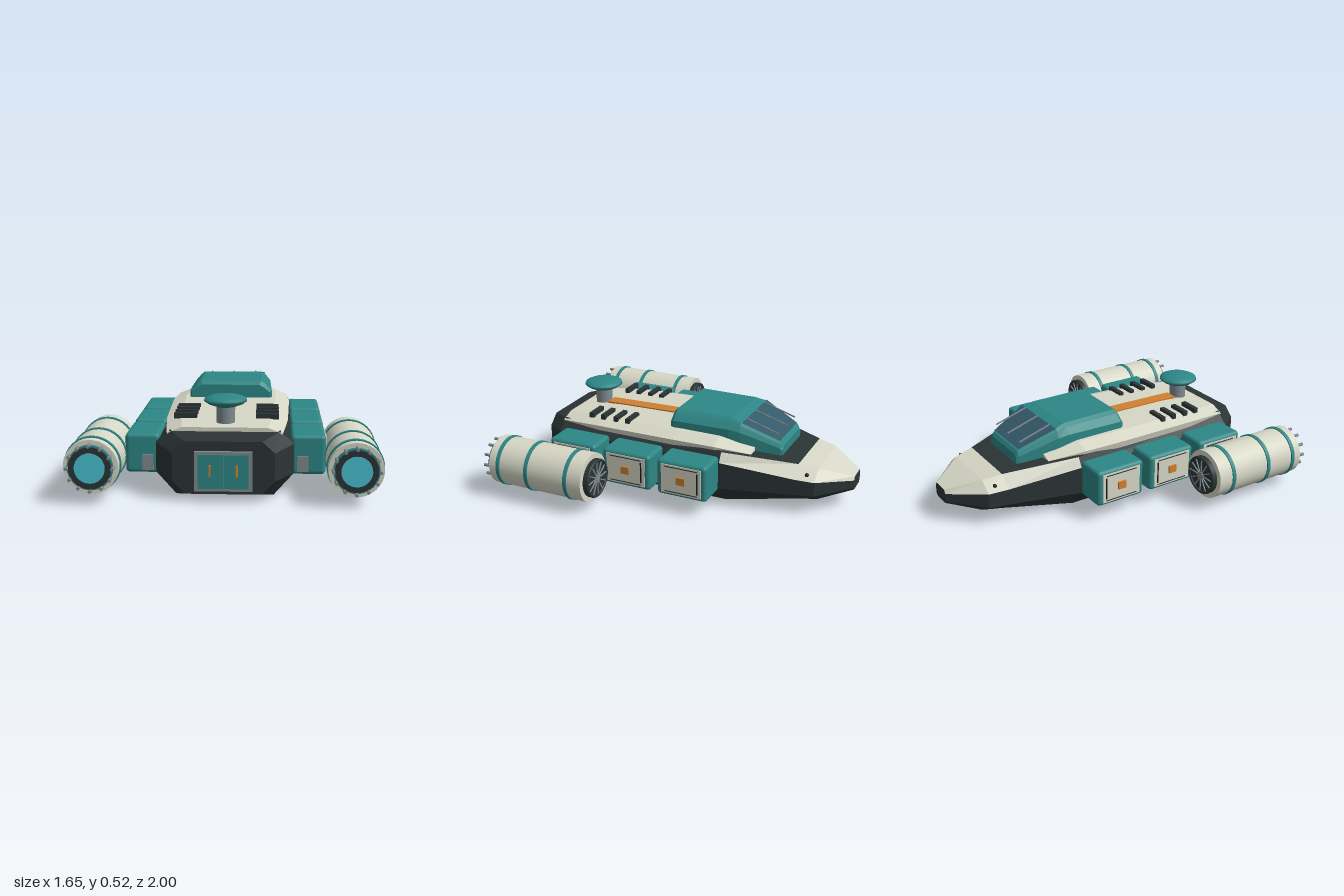
import * as THREE from 'three';
import { RoundedBoxGeometry } from 'three/addons/geometries/RoundedBoxGeometry.js';

const mat = (name, color, opts = {}) => {
  const m = new THREE.MeshStandardMaterial({ color, ...opts });
  m.name = name;
  return m;
};
const cream = mat('cream', 0xd6d7c6);
const teal = mat('teal', 0x2d8786);
const dark = mat('charcoal', 0x2b3435);
const black = mat('black', 0x191e1f);
const orange = mat('orange', 0xcf8030);
const grey = mat('grey', 0x7f8a90);
const glass = mat('glass', 0x33596a, { side: THREE.DoubleSide });
const cyan = mat('cyan', 0x4bc2d6);

function add(parent, name, geometry, material, x = 0, y = 0, z = 0) {
  const m = new THREE.Mesh(geometry, material);
  m.name = name;
  m.position.set(x, y, z);
  parent.add(m);
  return m;
}
const box = (w, h, d) => new THREE.BoxGeometry(w, h, d);
const cylZ = (r, len, seg = 32, r2 = r) => new THREE.CylinderGeometry(r, r2, len, seg).rotateX(Math.PI / 2);

// Mirrors the right half of a cross-section (listed bottom to top) into a full ring
const ring = (z, half) => [
  ...half.map(([x, y]) => [x, y, z]),
  ...half.slice().reverse().map(([x, y]) => [-x, y, z]),
];

// Faceted loft through rings ordered from +z to -z; pick(k, i) gives a material index
function loft(rings, pick = () => 0) {
  const byMat = [[], []], n = rings[0].length;
  rings.slice(1).forEach((far, k) => {
    const near = rings[k];
    for (let i = 0; i < n; i++) {
      const j = (i + 1) % n;
      byMat[pick(k, i)].push(near[i], far[i], far[j], near[i], far[j], near[j]);
    }
  });
  const last = rings[rings.length - 1];
  for (let i = 1; i < n - 1; i++) {
    byMat[0].push(rings[0][0], rings[0][i], rings[0][i + 1], last[0], last[i + 1], last[i]);
  }
  const g = new THREE.BufferGeometry();
  g.setAttribute('position', new THREE.Float32BufferAttribute(byMat.flat(2), 3));
  g.addGroup(0, byMat[0].length, 0);
  g.addGroup(byMat[0].length, byMat[1].length, 1);
  g.computeVertexNormals();
  return g;
}

function buildHull(root) {
  // z, top half-width, top y, side half-width, side top y, side bottom y, bottom half-width, bottom y
  const rings = [
    [0.885, 0.2, 0.32, 0.265, 0.26, 0.11, 0.2, 0.04],
    [0.75, 0.29, 0.345, 0.365, 0.28, 0.12, 0.26, 0],
    [-0.3, 0.34, 0.335, 0.37, 0.28, 0.12, 0.27, 0.005],
    [-0.71, 0.195, 0.28, 0.268, 0.215, 0.12, 0.17, 0.05],
    [-0.82, 0.17, 0.262, 0.242, 0.205, 0.12, 0.15, 0.063],
    [-1, 0.05, 0.2, 0.065, 0.178, 0.13, 0.05, 0.115],
  ].map(([z, tw, ty, sw, st, sb, bw, by]) => ring(z, [[bw, by], [sw, sb], [sw, st], [tw, ty]]));
  // Nose chamfers (2, 4) are cream; the nose top (3) turns cream ahead of the dark panel
  const pick = (k, i) => ((k >= 2 && (i === 2 || i === 4)) || (k >= 3 && i === 3) ? 1 : 0);
  add(root, 'hull', loft(rings, pick), [dark, cream]);
  for (const s of [-1, 1]) add(root, 'noseThruster', new THREE.SphereGeometry(0.012, 10, 8), black, s * 0.222, 0.235, -0.77);

  // Deck plate with drooping edges
  const deck = [
    [0.76, 0.305, 0.365], [0.5, 0.335, 0.382], [0, 0.35, 0.39], [-0.25, 0.335, 0.385], [-0.45, 0.26, 0.345],
  ].map(([z, w, t]) => ring(z, [[w - 0.06, t - 0.045], [w - 0.01, t - 0.07], [w, t - 0.03], [w - 0.08, t]]));
  add(root, 'deck', loft(deck), cream);
  add(root, 'deckStripe', box(0.08, 0.012, 0.56), orange, 0, 0.386, 0.32).rotation.x = 0.018;
  for (const s of [-1, 1]) {
    for (const z of [0.33, 0.41, 0.495, 0.575]) {
      add(root, 'deckVent', box(0.125, 0.03, 0.028), dark, s * 0.222, 0.388, z);
    }
  }
}

function buildCanopy(root) {
  // z, top half-width, top y, side half-width, side y, base y
  const rings = [
    [0.065, 0.17, 0.465, 0.235, 0.42, 0.36],
    [0.045, 0.18, 0.485, 0.245, 0.43, 0.35],
    [-0.3, 0.18, 0.484, 0.235, 0.43, 0.33],
    [-0.36, 0.195, 0.468, 0.226, 0.42, 0.32],
    [-0.585, 0.147, 0.37, 0.165, 0.34, 0.27],
    [-0.6, 0.135, 0.35, 0.157, 0.33, 0.27],
  ].map(([z, tw, ty, sw, sy, by]) => ring(z, [[sw, by], [sw, sy], [tw + (sw - tw) * 0.4, ty - (ty - sy) * 0.3], [tw, ty]]));
  add(root, 'canopy', loft(rings), teal);

  // Windscreen on the sloped face
  const a = [[-0.2, 0.47, -0.365], [0.2, 0.47, -0.365], [0.147, 0.378, -0.58], [-0.147, 0.378, -0.58]];
  const g = new THREE.BufferGeometry();
  g.setAttribute('position', new THREE.Float32BufferAttribute([a[0], a[1], a[2], a[0], a[2], a[3]].flat(), 3));
  g.computeVertexNormals();
  add(root, 'windscreen', g, glass);
  for (const x of [-0.14, 0, 0.14]) {
    add(root, 'windscreenBar', box(0.007, 0.007, 0.205), grey, x, 0.445, -0.47).rotation.x = -0.3;
  }
}

function buildDish(root) {
  add(root, 'dishMast', new THREE.CylinderGeometry(0.05, 0.05, 0.1, 24), grey, 0, 0.42, 0.65);
  const profile = [[0, 0.455], [0.05, 0.457], [0.095, 0.473], [0.115, 0.488], [0.112, 0.5], [0.085, 0.512], [0.045, 0.52], [0, 0.522]]
    .map(([x, y]) => new THREE.Vector2(x, y));
  add(root, 'dish', new THREE.LatheGeometry(profile, 36), teal, 0, 0, 0.65);
}

function buildDoor(root) {
  add(root, 'doorFrame', box(0.3, 0.21, 0.04), grey, 0, 0.165, 0.885);
  for (const s of [-1, 1]) {
    add(root, 'doorLeaf', box(0.129, 0.18, 0.02), teal, s * 0.066, 0.165, 0.9);
    add(root, 'doorHandle', box(0.01, 0.06, 0.014), orange, s * 0.07, 0.172, 0.914);
  }
}

function buildPods(root, s) {
  add(root, 'podRail', box(0.06, 0.085, 0.94), grey, s * 0.413, 0.162, 0.255);
  [-0.142, 0.208, 0.562].forEach((z) => {
    const pod = new THREE.Group();
    pod.name = 'cargoPod';
    pod.position.set(s * 0.442, 0.208, z);
    root.add(pod);
    add(pod, 'podBody', new RoundedBoxGeometry(0.185, 0.215, 0.305, 3, 0.022), teal);
    add(pod, 'podPanel', box(0.008, 0.175, 0.245), cream, s * 0.093);
    add(pod, 'podLatch', box(0.014, 0.045, 0.05), orange, s * 0.1);
    add(pod, 'podSlot', box(0.006, 0.13, 0.008), black, s * 0.096, 0, -0.1);
    for (const y of [-0.076, 0.076]) add(pod, 'podSeam', box(0.006, 0.005, 0.2), dark, s * 0.096, y, 0);
  });
}

function buildEngine(root, s) {
  const e = new THREE.Group();
  e.name = 'engine';
  e.position.set(s * 0.675, 0.195, 0);
  root.add(e);
  add(e, 'engineBody', cylZ(0.142, 0.61, 40), cream, 0, 0, 0.645);
  for (const z of [0.44, 0.7, 0.89]) add(e, 'engineBand', cylZ(0.148, 0.022, 40), teal, 0, 0, z);

  // Intake with radial grille
  add(e, 'intake', cylZ(0.112, 0.03), dark, 0, 0, 0.33);
  add(e, 'intakeRim', new THREE.TorusGeometry(0.104, 0.009, 8, 32), dark, 0, 0, 0.315);
  add(e, 'intakeHub', cylZ(0.022, 0.012, 16), grey, 0, 0, 0.313);
  for (let i = 0; i < 6; i++) add(e, 'intakeSpoke', box(0.2, 0.006, 0.008), grey, 0, 0, 0.313).rotation.z = i * Math.PI / 6;

  // Exhaust nozzle, glow and surrounding studs
  add(e, 'nozzleCollar', cylZ(0.118, 0.03), teal, 0, 0, 0.955);
  add(e, 'nozzle', cylZ(0.11, 0.03), dark, 0, 0, 0.963);
  add(e, 'exhaustGlow', cylZ(0.079, 0.008), cyan, 0, 0, 0.979);
  for (let i = 0; i < 12; i++) {
    const t = i * Math.PI / 6;
    add(e, 'nozzleStud', cylZ(0.009, 0.06, 8), grey, Math.cos(t) * 0.118, Math.sin(t) * 0.118, 0.97);
  }
}

export function createModel() {
  const root = new THREE.Group();
  root.name = 'shuttle';
  buildHull(root);
  buildCanopy(root);
  buildDish(root);
  buildDoor(root);
  for (const s of [-1, 1]) {
    buildPods(root, s);
    buildEngine(root, s);
  }
  return root;
}
